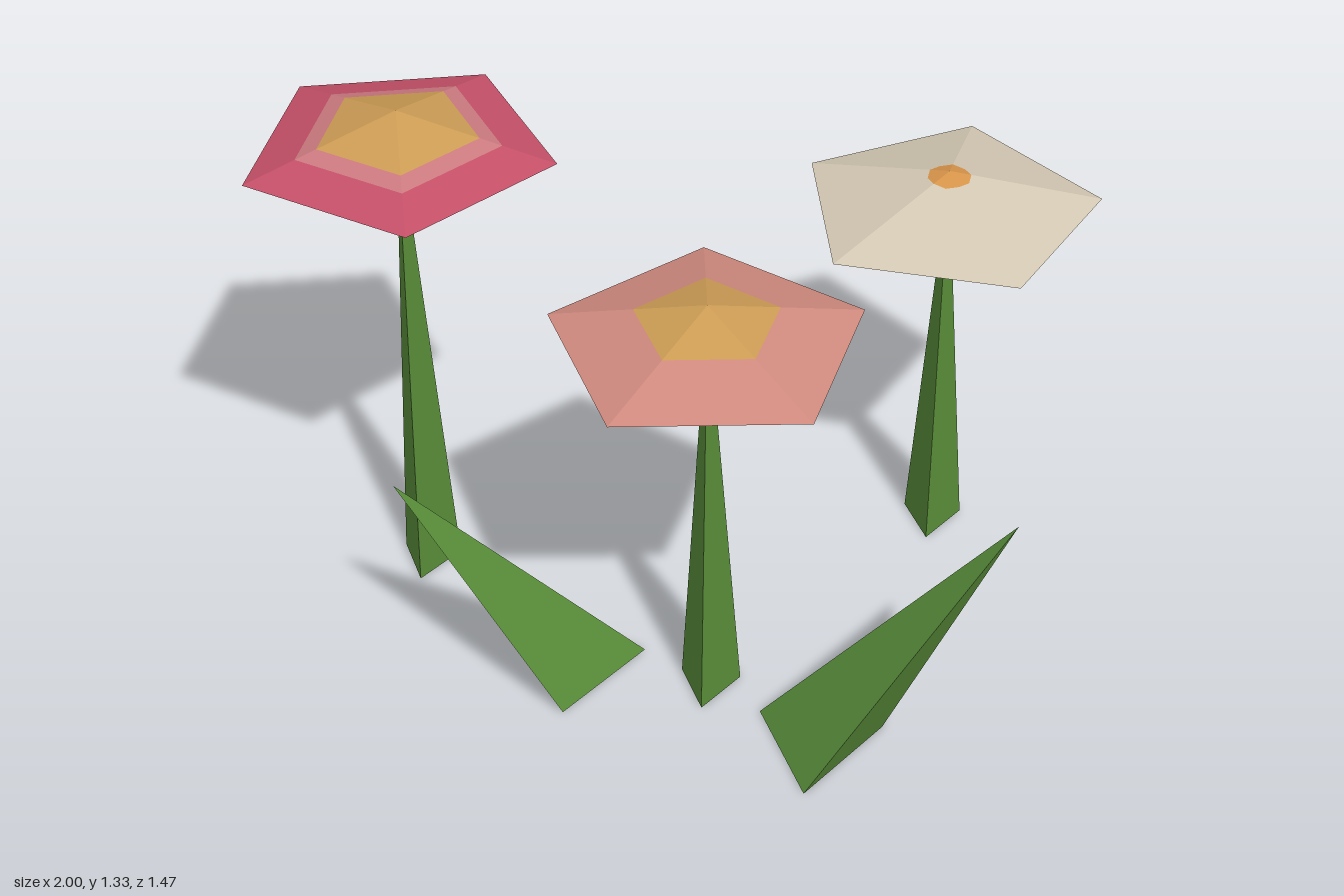
import * as THREE from 'three';

const mat = (name, color, side = THREE.DoubleSide) => {
  const m = new THREE.MeshStandardMaterial({ color, side, flatShading: true });
  m.name = name;
  return m;
};

const SIDES = 5, RADIUS = 0.374, STEP = (Math.PI * 2) / SIDES;
const COS_HALF = Math.cos(STEP / 2);

// One ring of a five-sided petal cone, between two fractions of its radius.
// Every facet is split in half so that a ring edge can be pentagonal or round.
function ringGeometry(inner, outer, height, turn) {
  const point = (i, { f, round }) => {
    const mid = i % 2 === 1;
    const r = RADIUS * f * (mid && !round ? COS_HALF : 1);
    const drop = height * r / (RADIUS * (mid ? COS_HALF : 1));
    const a = turn + i * STEP / 2;
    return [Math.cos(a) * r, -drop, Math.sin(a) * r];
  };
  const pos = [];
  for (let i = 0; i < SIDES * 2; i++) {
    const a = point(i, inner), b = point(i + 1, inner);
    const c = point(i, outer), d = point(i + 1, outer);
    pos.push(...a, ...d, ...c);
    if (inner.f > 0) pos.push(...a, ...b, ...d);
  }
  const g = new THREE.BufferGeometry();
  g.setAttribute('position', new THREE.Float32BufferAttribute(pos, 3));
  g.computeVertexNormals();
  return g;
}

// Three-sided spike standing on y = 0, sheared so that its tip leans by (dx, dz)
function spikeGeometry(radius, height, dx = 0, dz = 0) {
  const g = new THREE.ConeGeometry(radius, height, 3, 1, false, Math.PI / 2);
  g.translate(0, height / 2, 0);
  const p = g.attributes.position;
  for (let i = 0; i < p.count; i++) {
    const t = p.getY(i) / height;
    p.setX(i, p.getX(i) + dx * t);
    p.setZ(i, p.getZ(i) + dz * t);
  }
  g.computeVertexNormals();
  return g;
}

export function createModel() {
  const model = new THREE.Group();
  model.name = 'flowerPatch';
  const green = mat('leafGreen', 0x588c39, THREE.FrontSide);
  const red = mat('petalRed', 0xc45068);
  const rose = mat('bandRose', 0xcc7a80);
  const pink = mat('petalPink', 0xd08a7e);
  const cream = mat('petalCream', 0xd4c9b4);
  const ochre = mat('centreOchre', 0xcc9c54);
  const orange = mat('centreOrange', 0xd8954a);

  const add = (parent, name, geometry, material) => {
    const mesh = new THREE.Mesh(geometry, material);
    mesh.name = name;
    parent.add(mesh);
    return mesh;
  };

  // Flowers: rings run from the centre outward
  const flowers = [
    { name: 'redFlower', x: -0.628, z: -0.393, top: 1.327, turn: 174,
      rings: [['centre', 0.52, ochre], ['band', 0.66, rose], ['petals', 1, red]] },
    { name: 'pinkFlower', x: -0.116, z: 0.29, top: 1.12, turn: 0,
      rings: [['centre', 0.46, ochre], ['petals', 1, pink]] },
    { name: 'creamFlower', x: 0.637, z: -0.121, top: 1.06, turn: 14.4,
      rings: [['centre', 0.14, orange, true], ['petals', 1, cream]] },
  ];
  for (const { name, x, z, top, turn, rings } of flowers) {
    const flower = new THREE.Group();
    flower.name = name;
    flower.position.set(x, 0, z);
    add(flower, 'stem', spikeGeometry(0.083, top - 0.005), green);
    let inner = { f: 0, round: false };
    for (const [part, f, material, round = false] of rings) {
      const outer = { f, round };
      const g = ringGeometry(inner, outer, 0.1, THREE.MathUtils.degToRad(turn));
      add(flower, part, g, material).position.y = top;
      inner = outer;
    }
    model.add(flower);
  }

  // Leaning leaves at ground level
  add(model, 'leftLeaf', spikeGeometry(0.17, 0.68, 0.405, 0.165), green).position.set(0.055, 0, 0.567);
  add(model, 'rightLeaf', spikeGeometry(0.17, 0.613, -0.405, -0.07), green).position.set(-0.39, 0, 0.12);

  return model;
}
